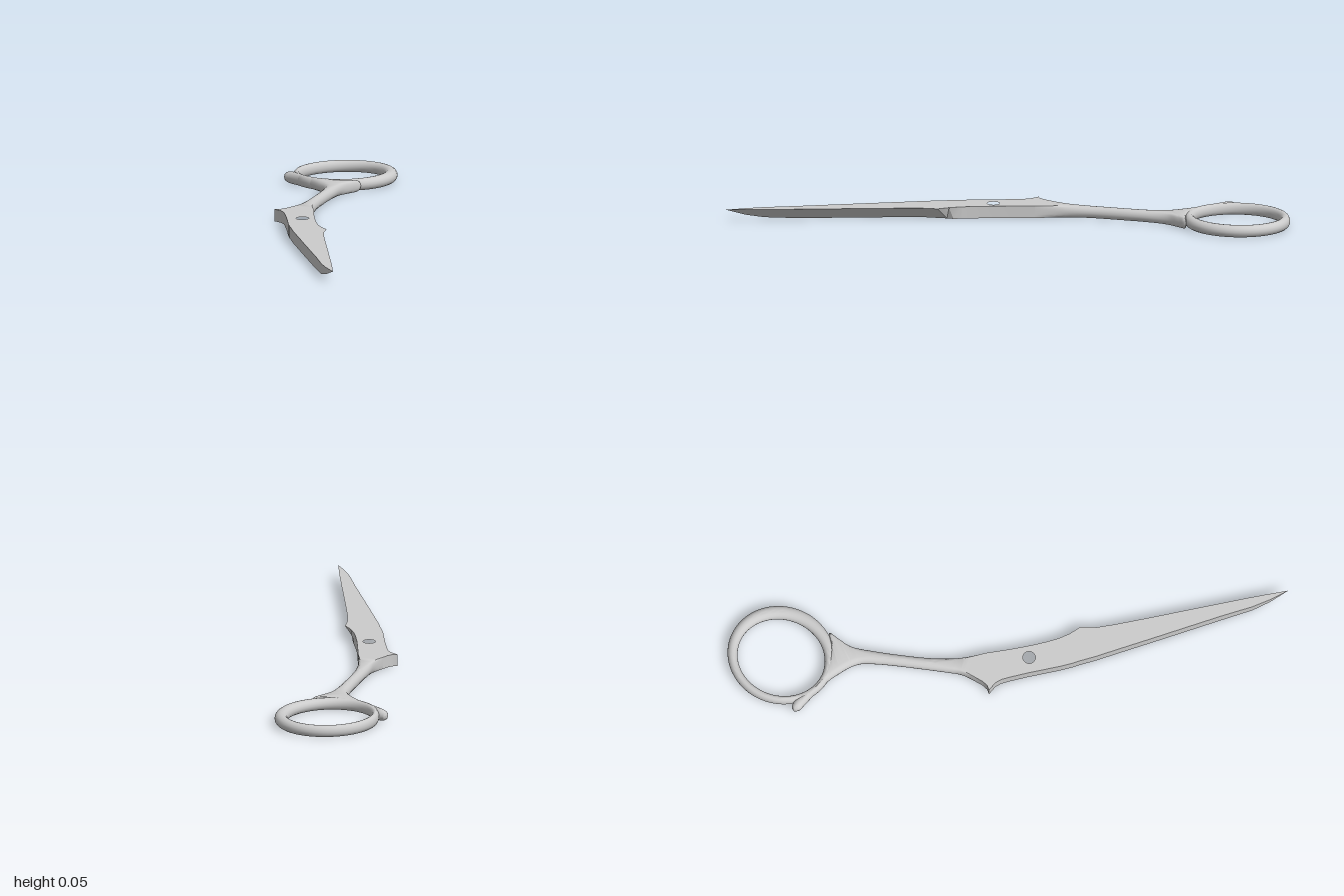
import * as THREE from 'three';
import { toCreasedNormals } from 'three/addons/utils/BufferGeometryUtils.js';

const H = 0.052; // thickness of the whole piece

// Skin a list of equal-length closed sections (arrays of [x, y, z])
function loft(sections, closed, crease) {
  const n = sections[0].length, m = sections.length, index = [];
  for (let i = 0; i < (closed ? m : m - 1); i++) {
    for (let k = 0; k < n; k++) {
      const a = i * n + k, b = i * n + (k + 1) % n;
      const c = ((i + 1) % m) * n + k, d = ((i + 1) % m) * n + (k + 1) % n;
      index.push(a, b, c, b, d, c);
    }
  }
  const g = new THREE.BufferGeometry();
  g.setAttribute('position', new THREE.Float32BufferAttribute(sections.flat(2), 3));
  g.setIndex(index);
  return toCreasedNormals(g, crease);
}

// Upright section from a to b in plan, with ends rounded by r (0 square, 1 round)
function roundedSection(ax, az, bx, bz, r, scale = 1) {
  const w = Math.hypot(bx - ax, bz - az) || 1e-6;
  const rx = Math.max(0, r) * Math.min(w, H) / 2, steps = 8, pts = [];
  for (let side = 0; side < 2; side++) {
    for (let j = 0; j <= steps; j++) {
      const t = (j / steps - 0.5) * Math.PI;
      const inset = rx * (1 - Math.cos(t)) / w;
      const u = side ? 1 - inset : inset;
      const y = H / 2 + (side ? -1 : 1) * Math.sin(t) * H / 2 * scale;
      pts.push([ax + (bx - ax) * u, y, az + (bz - az) * u]);
    }
  }
  return pts;
}

// Blade: flat on top, 45 degree bevel underneath; [spine x, z, edge x, z, ridge x, z]
function bladeGeometry() {
  const stations = [
    [-1, 0.745, -1, 0.745],
    [-0.95, 0.67, -0.925, 0.684],
    [-0.9, 0.607, -0.866, 0.635],
    [-0.8, 0.503, -0.765, 0.549],
    [-0.6, 0.285, -0.535, 0.352],
    [-0.5, 0.177, -0.42, 0.255],
    [-0.42, 0.09, -0.36, 0.208],
    [-0.365, 0.035, -0.297, 0.175, -0.292, 0.118],
    [-0.345, 0.013, -0.273, 0.128, -0.265, 0.108],
    [-0.31, -0.02, -0.24, 0.085, -0.24, 0.084],
  ];
  return loft(stations.map(([sx, sz, ex, ez, rx, rz]) => {
    const w = Math.hypot(sx - ex, sz - ez);
    const f = Math.min(1, H / (w || 1));
    const y = Math.max(0, H - w);
    const x = rx ?? ex + (sx - ex) * f, z = rz ?? ez + (sz - ez) * f;
    return [[sx, H, sz], [ex, H, ez], [x, y, z], [sx, y, sz]];
  }), false, 0.35);
}

// Pivot plate with screw hole and stop spur
function plateGeometry() {
  const outline = [
    [-0.31, -0.02], [-0.2, -0.115], [-0.14, -0.17], [-0.115, -0.195], [-0.1, -0.22],
    [-0.092, -0.262], [-0.075, -0.247], [-0.05, -0.24], [-0.02, -0.239],
    [0, -0.12], [-0.08, -0.058], [-0.15, 0], [-0.2, 0.045], [-0.24, 0.085],
  ];
  const shape = new THREE.Shape(outline.map(([x, z]) => new THREE.Vector2(x, -z)));
  const hole = new THREE.Path();
  hole.absarc(-0.172, 0.05, 0.027, 0, Math.PI * 2, true);
  shape.holes.push(hole);
  const g = new THREE.ExtrudeGeometry(shape, { depth: H, bevelEnabled: false, curveSegments: 20 });
  g.rotateX(-Math.PI / 2);
  return toCreasedNormals(g, 0.5);
}

// Shank flowing into the web and finger rest; [a x, z, b x, z, roundness, height]
function shankGeometry() {
  const stations = [
    [-0.02, -0.239, 0, -0.12, 0, 1],
    [0.04, -0.244, 0.065, -0.172, 0.25, 1],
    [0.11, -0.268, 0.13, -0.212, 0.75, 1],
    [0.2, -0.302, 0.22, -0.256, 1, 1],
    [0.3, -0.34, 0.32, -0.296, 1, 1],
    [0.39, -0.378, 0.42, -0.332, 1, 1],
    [0.445, -0.406, 0.525, -0.363, 1, 1],
    [0.473, -0.433, 0.59, -0.357, 1, 1],
    [0.49, -0.457, 0.635, -0.352, 1, 1],
    [0.507, -0.488, 0.6, -0.4, 1, 1],
    [0.532, -0.538, 0.572, -0.47, 1, 1],
    [0.548, -0.585, 0.568, -0.56, 1, 1],
    [0.56, -0.635, 0.592, -0.63, 1, 1],
    [0.572, -0.69, 0.615, -0.68, 1, 1],
    [0.579, -0.718, 0.618, -0.712, 1, 0.85],
    [0.594, -0.732, 0.604, -0.731, 1, 0.35],
    [0.599, -0.733, 0.599, -0.733, 1, 0],
  ];
  // the curves carry roundness and height in their y
  const a = new THREE.CatmullRomCurve3(stations.map(s => new THREE.Vector3(s[0], s[4], s[1])));
  const b = new THREE.CatmullRomCurve3(stations.map(s => new THREE.Vector3(s[2], s[5], s[3])));
  const steps = 80, sections = [];
  for (let i = 0; i <= steps; i++) {
    const p = a.getPoint(i / steps), q = b.getPoint(i / steps);
    sections.push(roundedSection(p.x, p.z, q.x, q.z, Math.min(1, p.y), Math.min(1, q.y)));
  }
  return loft(sections, false, 0.7);
}

// Finger ring between two slightly offset ellipses
function ringGeometry() {
  const sections = [];
  for (let i = 0; i < 72; i++) {
    const t = i / 72 * Math.PI * 2, c = Math.cos(t), s = Math.sin(t);
    sections.push(roundedSection(
      0.768 + 0.232 * c, -0.537 + 0.218 * s,
      0.762 + 0.19 * c, -0.548 + 0.172 * s, 1));
  }
  return loft(sections, true, 0.7);
}

export function createModel() {
  const group = new THREE.Group();
  group.name = 'scissorHalf';
  const material = new THREE.MeshStandardMaterial({ color: 0xcccccc });
  const parts = {
    blade: bladeGeometry(),
    pivotPlate: plateGeometry(),
    shankAndFingerRest: shankGeometry(),
    fingerRing: ringGeometry(),
  };
  for (const [name, geometry] of Object.entries(parts)) {
    const mesh = new THREE.Mesh(geometry, material);
    mesh.name = name;
    group.add(mesh);
  }
  return group;
}
